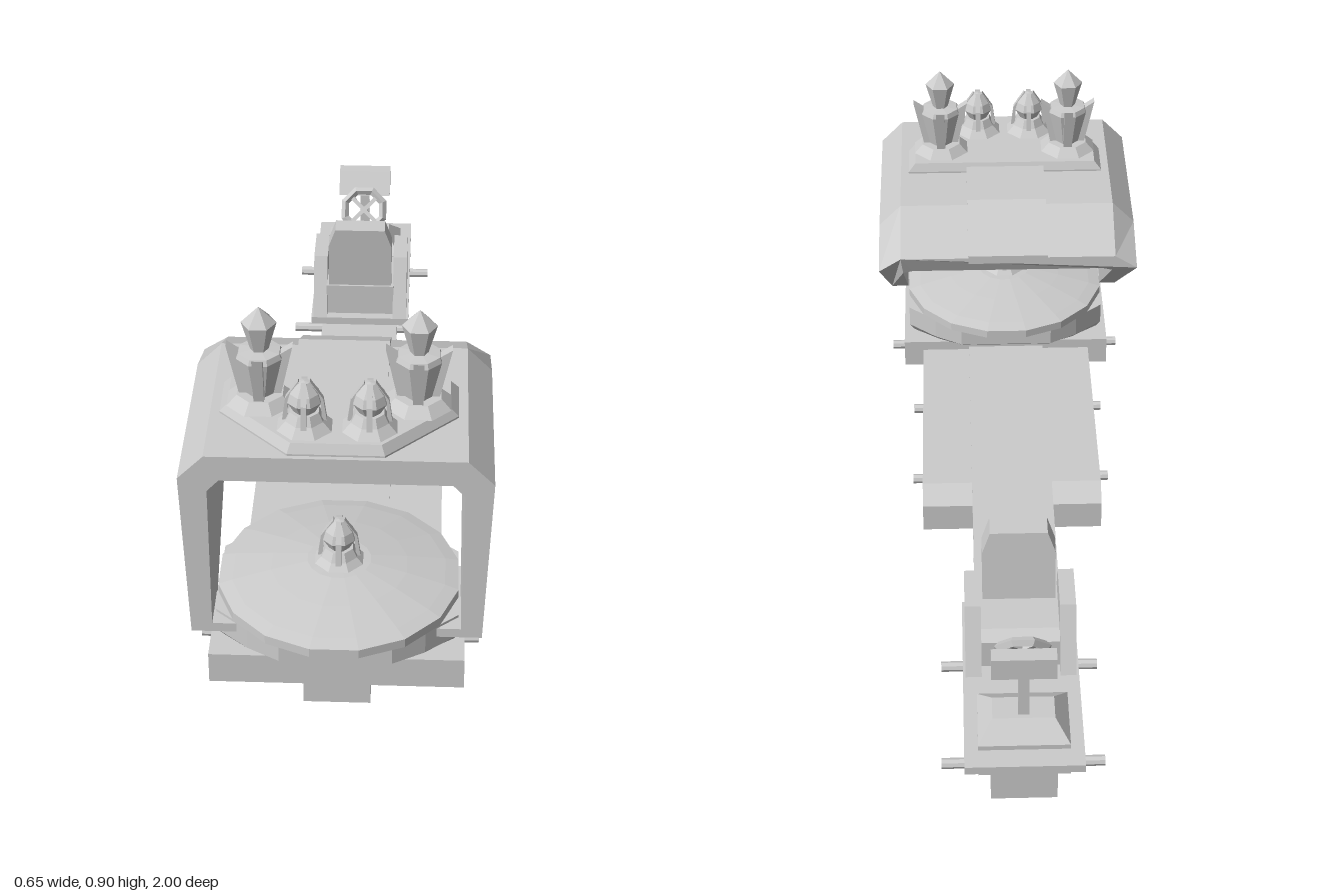
import * as THREE from 'three';

const mat = new THREE.MeshStandardMaterial({ color: 0xcccccc, flatShading: true });

function add(parent, name, geo, x = 0, y = 0, z = 0) {
  const m = new THREE.Mesh(geo, mat);
  m.name = name;
  m.position.set(x, y, z);
  parent.add(m);
  return m;
}

// box given by its extents
function box(parent, name, x0, x1, y0, y1, z0, z1) {
  return add(parent, name, new THREE.BoxGeometry(x1 - x0, y1 - y0, z1 - z0),
    (x0 + x1) / 2, (y0 + y1) / 2, (z0 + z1) / 2);
}

// side profile of [z, y] points, extruded across x
function slab(parent, name, pts, width, x = 0) {
  const shape = new THREE.Shape(pts.map(p => new THREE.Vector2(p[0], p[1])));
  const g = new THREE.ExtrudeGeometry(shape, { depth: width, bevelEnabled: false });
  g.translate(0, 0, -width / 2).rotateY(-Math.PI / 2);
  return add(parent, name, g, x);
}

// closed loops (anticlockwise seen from +z, ordered back to front) joined and capped
function loft(loops) {
  const pos = [], n = loops[0].length;
  const tri = (a, b, c) => pos.push(...a, ...b, ...c);
  for (let s = 0; s < loops.length - 1; s++) {
    for (let i = 0; i < n; i++) {
      const j = (i + 1) % n, a = loops[s], b = loops[s + 1];
      tri(a[i], a[j], b[j]);
      tri(a[i], b[j], b[i]);
    }
  }
  const cap = (l, flip) => THREE.ShapeUtils
    .triangulateShape(l.map(p => new THREE.Vector2(p[0], p[1])), [])
    .forEach(([a, b, c]) => flip ? tri(l[a], l[c], l[b]) : tri(l[a], l[b], l[c]));
  cap(loops[0], true);
  cap(loops[loops.length - 1], false);
  const g = new THREE.BufferGeometry();
  g.setAttribute('position', new THREE.Float32BufferAttribute(pos, 3));
  g.computeVertexNormals();
  return g;
}

// plan outline of [x, z] points stacked at levels [y, scaleX, scaleZ] about centre cz
function stack(half, levels, cz) {
  const plan = [...half.map(([x, z]) => [x, cz - z]),
    ...half.slice().reverse().map(([x, z]) => [-x, cz - z])];
  const loops = levels.map(([y, sx, sz = sx]) => plan.map(([x, v]) => [x * sx, v * sz, y]));
  return loft(loops).rotateX(-Math.PI / 2).translate(0, 0, cz);
}

function lathe(parent, name, pts, sides, x = 0, y = 0, z = 0) {
  const g = new THREE.LatheGeometry(pts.map(p => new THREE.Vector2(p[0], p[1])), sides, Math.PI / sides);
  return add(parent, name, g, x, y, z);
}

// small lamp: stepped foot, faceted bulb and four prongs; base at local y = 0
function lamp(parent, name, x, y, z) {
  const g = new THREE.Group();
  g.name = name;
  g.position.set(x, y, z);
  lathe(g, 'lampFoot', [[0, 0], [0.062, 0], [0.042, 0.02], [0.032, 0.04], [0, 0.04]], 8);
  lathe(g, 'lampBulb', [[0, 0.03], [0.018, 0.03], [0.037, 0.064], [0.031, 0.084], [0.012, 0.108], [0, 0.11]], 8);
  for (let i = 0; i < 4; i++) {
    const arm = new THREE.Group();
    arm.name = 'lampProng';
    arm.rotation.y = i * Math.PI / 2;
    slab(arm, 'prong', [[0.036, 0.018], [0.046, 0.018], [0.039, 0.07], [0.012, 0.112], [0.01, 0.106], [0.033, 0.066]], 0.012);
    g.add(arm);
  }
  parent.add(g);
}

// tall finial: foot, tapered column, four flared fins and a diamond
function finial(parent, x, y, z) {
  const g = new THREE.Group();
  g.name = 'tallBeacon';
  g.position.set(x, y, z);
  lathe(g, 'beaconFoot', [[0, 0], [0.075, 0], [0.052, 0.022], [0, 0.022]], 8);
  lathe(g, 'beaconColumn', [[0, 0.02], [0.03, 0.02], [0.051, 0.11], [0.046, 0.122], [0.018, 0.125], [0, 0.125]], 8);
  lathe(g, 'beaconDiamond', [[0, 0.12], [0.018, 0.12], [0.037, 0.188], [0, 0.225]], 6);
  for (let i = 0; i < 4; i++) {
    const arm = new THREE.Group();
    arm.name = 'beaconFin';
    arm.rotation.y = i * Math.PI / 2;
    slab(arm, 'fin', [[0.02, 0.02], [0.044, 0.02], [0.069, 0.136], [0.04, 0.116]], 0.022);
    g.add(arm);
  }
  parent.add(g);
}

export function createModel() {
  const root = new THREE.Group();
  root.name = 'vehicle';

  // chassis beam, deck and rear platform
  box(root, 'chassisBeam', -0.073, 0.073, 0, 0.1, -0.95, 0.88);
  box(root, 'deck', -0.1, 0.1, 0.095, 0.13, -0.97, 0.6);
  box(root, 'rearPlatform', -0.13, 0.13, 0.13, 0.15, -1, -0.475);

  // axle rods
  for (const [z, half] of [[-0.89, 0.18], [-0.585, 0.18], [0.11, 0.25], [0.41, 0.25], [0.71, 0.31]]) {
    const rod = new THREE.CylinderGeometry(0.012, 0.012, half * 2, 8).rotateZ(Math.PI / 2);
    add(root, 'axleRod', rod, 0, 0.05, z);
  }

  // side running boards with a turned-down end
  for (const s of [-1, 1]) {
    slab(root, 'runningBoard', [[0.6, 0.122], [0, 0.122], [-0.05, 0.088], [-0.05, 0.014],
      [-0.005, 0.036], [0.042, 0.096], [0.6, 0.096]], 0.14, s * 0.154);
  }

  // front base and turntable
  box(root, 'frontBase', -0.275, 0.275, 0.073, 0.148, 0.58, 0.905);
  box(root, 'frontBaseUnderside', -0.255, 0.255, 0.062, 0.073, 0.6, 0.88);
  const drum = [[0.12, 0.95], [0.19, 0.91], [0.26, 0.85], [0.26, 0.63], [0.19, 0.57], [0.12, 0.53]];
  add(root, 'turntableDrum', stack(drum, [[0.142, 0.96, 0.8], [0.173, 1], [0.228, 1]], 0.74));
  lathe(root, 'turntableDisc', [[0, 0.22], [0.25, 0.22], [0.265, 0.229], [0.265, 0.25],
    [0.235, 0.258], [0.15, 0.275], [0.07, 0.288], [0, 0.291]], 16, 0, 0, 0.74);
  lamp(root, 'turntableLamp', 0, 0.283, 0.74);

  // arched hood: half outline [x, y front, z middle, y back, z back], outer edge up, inner edge down
  const outer = [[0.31, 0.2, 0.78, 0.2, 0.78], [0.325, 0.6, 0.46, 0.55, 0.32], [0.27, 0.656, 0.46, 0.585, 0.32]];
  const inner = [[0.24, 0.597, 0.46, 0.537, 0.34], [0.265, 0.57, 0.48, 0.525, 0.35], [0.265, 0.2, 0.78, 0.2, 0.78]];
  const flip = l => l.slice().reverse().map(([x, ...r]) => [-x, ...r]);
  const arch = [...outer, ...flip(outer), ...flip(inner), ...inner];
  add(root, 'hood', loft([
    arch.map(([x, , , y, z]) => [x, y, z]),
    arch.map(([x, y, z]) => [x, y, z]),
    arch.map(([x, y]) => [x, y, 0.89]),
  ]));
  slab(root, 'hoodStrip', [[0.64, 0.64], [0.64, 0.671], [0.46, 0.671], [0.318, 0.592], [0.318, 0.57], [0.46, 0.64]], 0.2);
  for (const s of [-1, 1]) {
    add(root, 'hoodFoot', new THREE.BoxGeometry(0.12, 0.022, 0.11), s * 0.235, 0.211, 0.835);
  }

  // lamp plate on the roof
  const plate = [[0.1, 0.88], [0.25, 0.73], [0.25, 0.62]];
  add(root, 'roofPlate', stack(plate, [[0.65, 1], [0.66, 1], [0.681, 0.93]], 0.74));
  for (const s of [-1, 1]) {
    finial(root, s * 0.165, 0.68, 0.71);
    lamp(root, 'roofLamp', s * 0.067, 0.68, 0.805);
  }

  // driver's seat, facing the rear
  const seat = new THREE.Group();
  seat.name = 'seat';
  root.add(seat);
  slab(seat, 'cushion', [[-0.5, 0.15], [-0.5, 0.235], [-0.66, 0.235], [-0.69, 0.22], [-0.69, 0.15]], 0.18);
  for (const s of [-1, 1]) {
    slab(seat, 'armrest', [[-0.475, 0.15], [-0.54, 0.303], [-0.66, 0.303], [-0.725, 0.15]], 0.036, s * 0.106);
  }
  const rest = [[0.083, 0.2], [0.083, 0.36], [0.065, 0.412]];
  const restLoop = [...rest, ...flip(rest)];
  const lean = (y, z) => z + (y - 0.2) * 0.11;
  add(seat, 'backrest', loft([-0.565, -0.51].map(z => restLoop.map(([x, y]) => [x, y, lean(y, z)]))));

  // steering console
  const con = new THREE.Group();
  con.name = 'steeringConsole';
  root.add(con);
  const foot = [[0.1, -0.79], [0.1, -0.95]];
  add(con, 'consoleFoot', stack(foot, [[0.15, 1], [0.162, 1], [0.2, 0.68, 0.4]], -0.875));
  box(con, 'consolePost', -0.012, 0.012, 0.19, 0.335, -0.895, -0.878);
  slab(con, 'consoleHead', [[-0.842, 0.325], [-0.88, 0.38], [-0.916, 0.38], [-0.916, 0.325]], 0.14);

  // steering wheel with four spokes and a column
  const wheel = new THREE.Group();
  wheel.name = 'steeringWheel';
  wheel.position.set(0, 0.303, -0.8);
  wheel.rotation.x = -0.5;
  con.add(wheel);
  add(wheel, 'rim', new THREE.TorusGeometry(0.056, 0.011, 4, 8).rotateZ(Math.PI / 8));
  for (const a of [0, Math.PI / 2]) {
    add(wheel, 'spoke', new THREE.BoxGeometry(0.104, 0.011, 0.008).rotateZ(a + Math.PI / 4));
  }
  add(wheel, 'column', new THREE.CylinderGeometry(0.009, 0.009, 0.1, 6).rotateX(Math.PI / 2), 0, 0, -0.05);

  return root;
}
